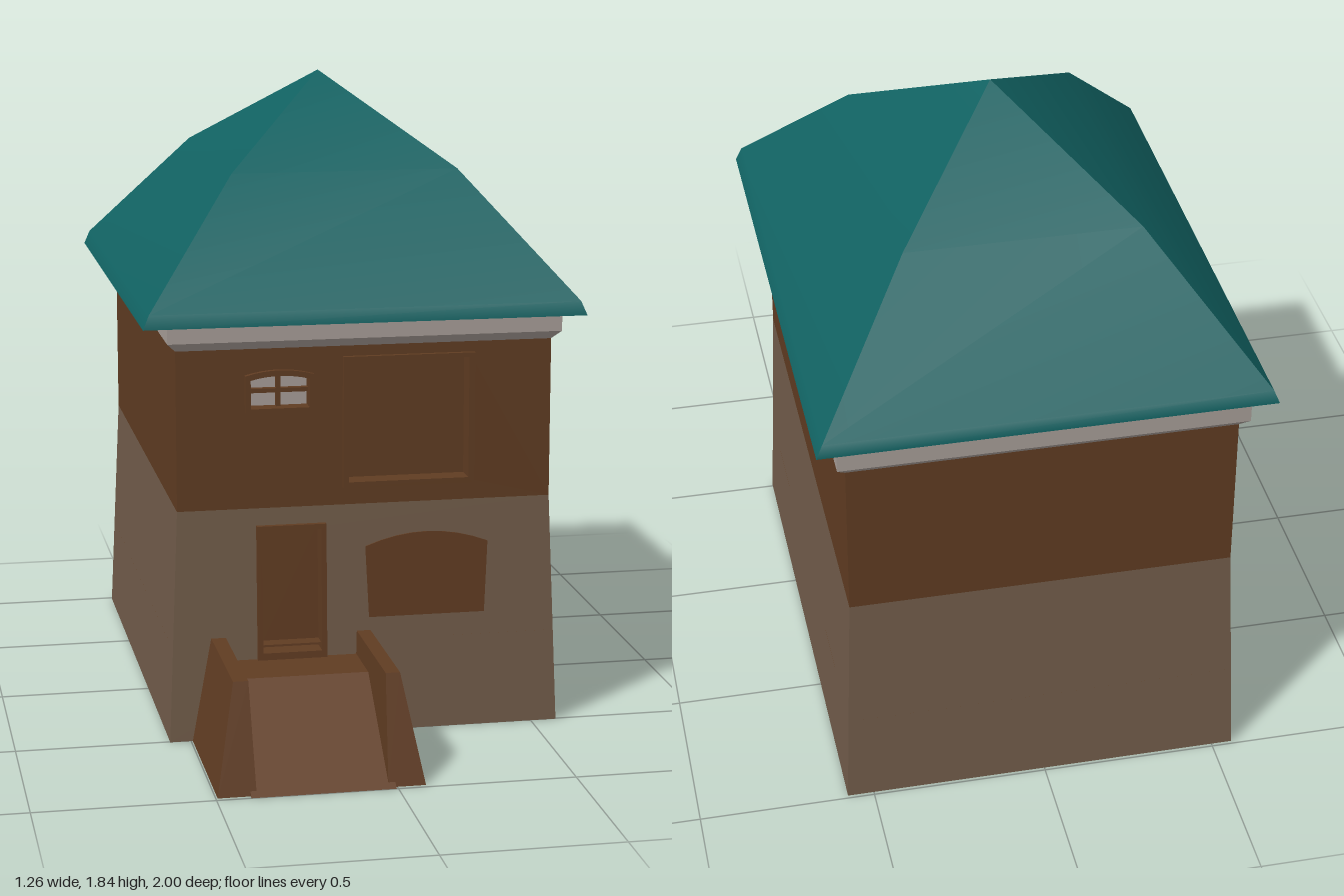
import * as THREE from 'three';

const mat = (name, color, side = THREE.FrontSide) => {
  const m = new THREE.MeshStandardMaterial({ color, side });
  m.name = name;
  return m;
};

export function createModel() {
  const model = new THREE.Group();
  model.name = 'house';
  const teal = mat('roof teal', 0x116262);
  const brown = mat('wood brown', 0x603c22, THREE.DoubleSide);
  const taupe = mat('plaster taupe', 0x715c4a, THREE.DoubleSide);
  const grey = mat('trim grey', 0xa89e98, THREE.DoubleSide);

  const add = (name, geometry, material, parent = model) => {
    const mesh = new THREE.Mesh(geometry, material);
    mesh.name = name;
    parent.add(mesh);
    return mesh;
  };

  // Four-sided loft through rectangles [x0, x1, z0, z1, y]; hard edges at the corners
  const loft = (rings, { smooth = false, sides = [0, 1, 2, 3] } = {}) => {
    const pos = [], index = [];
    for (const s of sides) {
      const base = pos.length / 3;
      rings.forEach(([x0, x1, z0, z1, y], r) => {
        const c = [[x0, z1], [x1, z1], [x1, z0], [x0, z0]];
        const a = c[s], b = c[(s + 1) % 4];
        pos.push(a[0], y, a[1], b[0], y, b[1]);
        if (r) {
          const k = base + 2 * r;
          index.push(k - 2, k - 1, k + 1, k - 2, k + 1, k);
        }
      });
    }
    let g = new THREE.BufferGeometry();
    g.setAttribute('position', new THREE.Float32BufferAttribute(pos, 3));
    g.setIndex(index);
    if (!smooth) g = g.toNonIndexed();
    g.computeVertexNormals();
    return g;
  };

  const poly = (pts) => new THREE.Shape(pts.map(([x, y]) => new THREE.Vector2(x, y)));
  const rect = (x0, x1, y0, y1) => poly([[x0, y0], [x1, y0], [x1, y1], [x0, y1]]);
  // Rectangle with a bowed top edge
  const arched = (x0, x1, y0, y1, rise, inset = 0) => {
    const s = new THREE.Shape();
    s.moveTo(x0 + inset, y0);
    s.lineTo(x1 - inset, y0);
    s.lineTo(x1, y1);
    s.quadraticCurveTo((x0 + x1) / 2, y1 + 2 * rise, x0, y1);
    s.closePath();
    return s;
  };
  const withHoles = (shape, holes) => {
    shape.holes.push(...holes);
    return shape;
  };
  const extrude = (shape, z0, z1) => new THREE.ExtrudeGeometry(shape,
    { depth: z1 - z0, bevelEnabled: false, curveSegments: 8 }).translate(0, 0, z0);
  // Lean a front piece with the sloping lower wall
  const lean = (g) => {
    const p = g.attributes.position;
    for (let i = 0; i < p.count; i++) {
      p.setZ(i, p.getZ(i) + 0.48 + 0.025 * Math.max(0, 1 - p.getY(i) / 0.67));
    }
    g.computeVertexNormals();
    return g;
  };

  // Walls: sides and back by loft, fronts with openings
  const foot = [-0.56, 0.575, -0.99, 0.505, 0];
  const waist = [-0.53, 0.55, -0.965, 0.48, 0.67];
  const head = [-0.53, 0.55, -0.965, 0.48, 1.13];
  add('lowerWalls', loft([foot, waist], { sides: [1, 2, 3] }), taupe);
  add('upperWalls', loft([waist, head], { sides: [1, 2, 3] }), brown);
  add('lowerFrontWall', lean(new THREE.ShapeGeometry(withHoles(
    poly([[-0.56, 0], [0.575, 0], [0.55, 0.67], [-0.53, 0.67]]),
    [rect(-0.298, -0.113, 0.24, 0.61)]))), taupe);
  add('upperFrontWall', lean(new THREE.ShapeGeometry(withHoles(
    rect(-0.53, 0.55, 0.67, 1.13),
    [rect(-0.047, 0.315, 0.728, 1.092), arched(-0.327, -0.148, 0.955, 1.048, 0.013)]))), brown);
  add('floor', loft([[0.01, 0.01, -0.24, -0.24, 0.27], [-0.548, 0.565, -0.98, 0.495, 0.27]]), brown);

  // Framed, recessed openings
  const opening = (name, outer, inner, depth, panelMaterial) => {
    const group = new THREE.Group();
    group.name = name;
    model.add(group);
    add(name + 'Panel', lean(extrude(inner.clone(), -depth - 0.005, -depth)), panelMaterial, group);
    add(name + 'Frame', lean(extrude(withHoles(outer, [inner]), -depth, 0.015)), brown, group);
    return group;
  };
  opening('door', rect(-0.305, -0.105, 0.23, 0.62), rect(-0.29, -0.12, 0.25, 0.605), 0.045, brown);
  opening('largeWindow', rect(-0.055, 0.325, 0.72, 1.1), rect(-0.04, 0.308, 0.737, 1.087), 0.05, brown);
  const small = opening('smallWindow', arched(-0.335, -0.14, 0.948, 1.055, 0.014),
    arched(-0.32, -0.152, 0.96, 1.042, 0.011), 0.035, grey);
  add('mullion', lean(extrude(rect(-0.243, -0.23, 0.96, 1.052), -0.035, -0.015)), brown, small);
  add('glazingBar', lean(extrude(rect(-0.32, -0.152, 1, 1.012), -0.035, -0.015)), brown, small);
  add('archedShutter', lean(extrude(arched(0.01, 0.368, 0.337, 0.545, 0.036, 0.01), 0, 0.004)), brown);

  // Cornice under the roof
  add('cornice', loft([head, [-0.555, 0.575, -0.99, 0.505, 1.155],
    [-0.555, 0.575, -0.99, 0.505, 1.212]]), grey);

  // Bell-shaped hipped roof and its underside
  const eave = [-0.63, 0.63, -1, 0.572, 1.21];
  add('roof', loft([eave, [-0.613, 0.613, -0.995, 0.565, 1.25],
    [-0.33, 0.33, -0.645, 0.23, 1.59], [0, 0, -0.205, -0.205, 1.84]], { smooth: true }), teal);
  add('soffit', loft([[0, 0, -0.21, -0.21, 1.21], eave]), teal);

  // Entrance ramp with ribs beneath
  const ramp = extrude(poly([[0.46, 0.2], [0.655, 0.2], [0.955, 0], [1, 0], [0.67, 0.23], [0.46, 0.23]]), 0, 0.4);
  add('ramp', ramp.rotateY(-Math.PI / 2).translate(-0.005, 0, 0), brown);
  for (let i = 0; i < 5; i++) {
    add('rampRib', new THREE.BoxGeometry(0.38, 0.03, 0.03)
      .translate(-0.205, 0.17 - i * 0.035, 0.675 + i * 0.0525), brown);
  }

  // Tapered parapets either side of the ramp
  for (const [name, b0, b1, t0, t1] of [
    ['rightParapet', -0.495, -0.388, -0.438, -0.396],
    ['leftParapet', 0.08, -0.025, 0.024, -0.016]]) {
    const [x0, x1] = [Math.min(b0, b1), Math.max(b0, b1)];
    const [u0, u1] = [Math.min(t0, t1), Math.max(t0, t1)];
    const mid = (u0 + u1) / 2;
    add(name, loft([[mid, mid, 0.7, 0.7, 0], [x0, x1, 0.47, 0.985, 0],
      [u0, u1, 0.47, 0.9, 0.298], [mid, mid, 0.7, 0.7, 0.298]]), brown);
  }
  return model;
}
